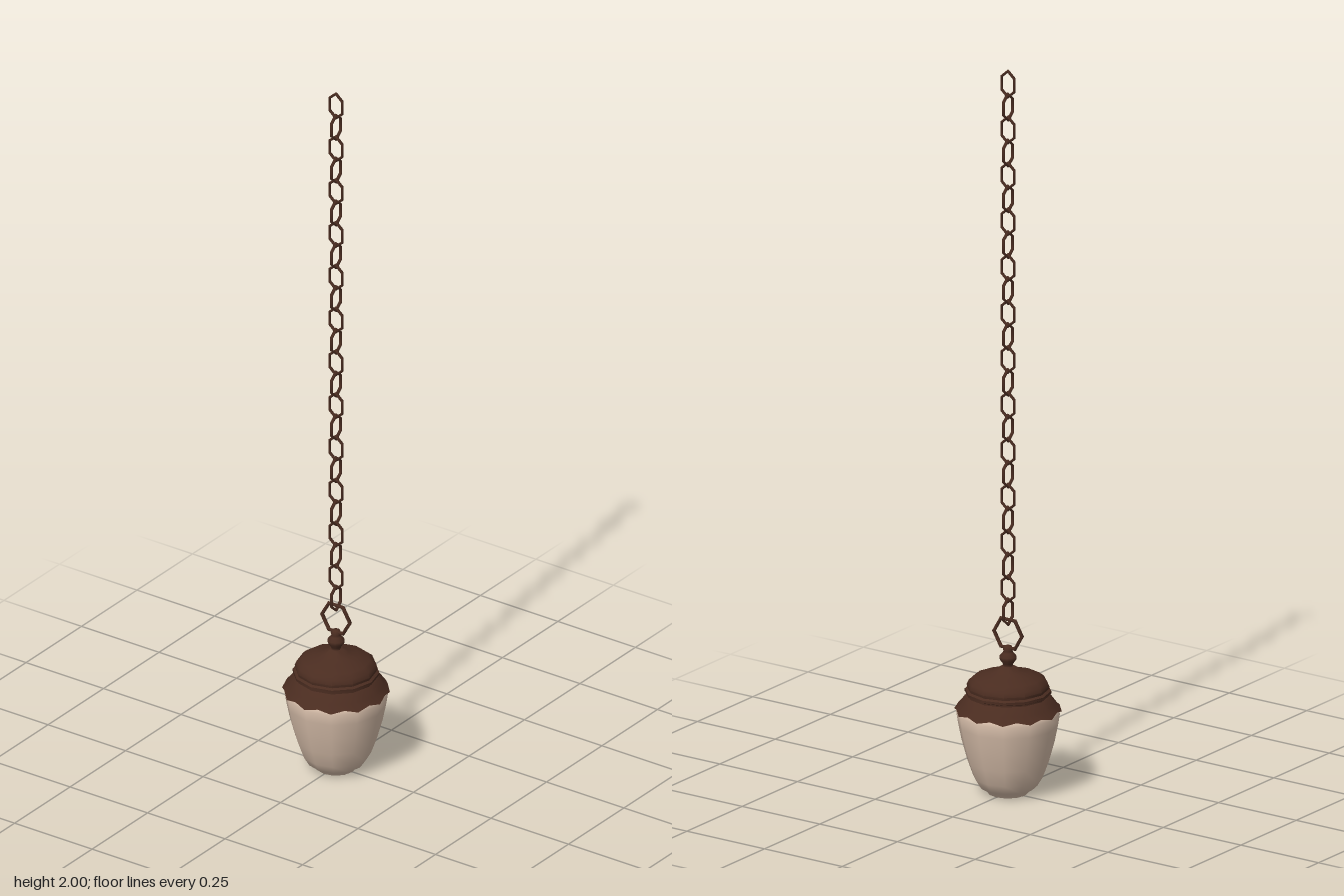
import * as THREE from 'three';
import { toCreasedNormals } from 'three/addons/utils/BufferGeometryUtils.js';

const SIDES = 12;
const bronze = new THREE.MeshStandardMaterial({ color: 0x4a2c20, side: THREE.DoubleSide });
bronze.name = 'bronze';
const glass = new THREE.MeshStandardMaterial({ color: 0xd6bda9, side: THREE.DoubleSide });
glass.name = 'frosted glass';

function lathe(points, sides = SIDES) {
  return new THREE.LatheGeometry(points.map(([r, y]) => new THREE.Vector2(r, y)), sides);
}

function addMesh(parent, name, geometry, material) {
  const mesh = new THREE.Mesh(geometry, material);
  mesh.name = name;
  parent.add(mesh);
  return mesh;
}

// Twelve-sided skirt whose lower edge rises between the corners
function scallopedSkirt() {
  const profile = [[0.132, 0.232], [0.142, 0.228], [0.127, 0.248], [0.114, 0.266], [0.108, 0.27]];
  const geometry = lathe(profile, SIDES * 2);
  const pos = geometry.attributes.position;
  for (let i = 0; i < pos.count; i++) {
    const column = Math.floor(i / profile.length);
    if (column % 2 === 0) continue;
    const k = Math.cos(Math.PI / SIDES);
    const lift = i % profile.length < 2 ? 0.008 : 0;
    pos.setXYZ(i, pos.getX(i) * k, pos.getY(i) + lift, pos.getZ(i) * k);
  }
  return toCreasedNormals(geometry, 0.65);
}

export function createModel() {
  const model = new THREE.Group();
  model.name = 'hangingLantern';

  // Chain of six-sided links, each turned a quarter from the last
  const chain = new THREE.Group();
  chain.name = 'chain';
  model.add(chain);
  const linkGeometry = new THREE.TorusGeometry(0.036, 0.0045, 6, 6);
  linkGeometry.rotateZ(Math.PI / 6).scale(0.66, 1, 1);
  for (let i = 0; i < 24; i++) {
    const link = addMesh(chain, 'chainLink', linkGeometry, bronze);
    link.position.y = 1.96 - i * 0.0635;
    link.rotation.y = (i % 2) * Math.PI / 2;
  }

  // Hanging ring
  const ring = addMesh(model, 'hangingRing', new THREE.TorusGeometry(0.045, 0.0055, 6, 6), bronze);
  ring.position.y = 0.439;

  // Turned finial
  addMesh(model, 'finial', lathe([
    [0.016, 0.335], [0.012, 0.35], [0.014, 0.357], [0.022, 0.368], [0.023, 0.377],
    [0.014, 0.387], [0.012, 0.392], [0.014, 0.397], [0.01, 0.405], [0, 0.407],
  ]), bronze);

  // Domed cap with two stepped bands
  addMesh(model, 'cap', toCreasedNormals(lathe([
    [0.108, 0.266], [0.108, 0.274], [0.114, 0.277], [0.114, 0.284], [0.107, 0.288],
    [0.109, 0.296], [0.104, 0.308], [0.09, 0.319], [0.06, 0.329], [0.033, 0.339],
    [0.018, 0.349], [0, 0.351],
  ]), 0.65), bronze);
  addMesh(model, 'skirt', scallopedSkirt(), bronze);

  // Tapered glass shade with a closed foot
  addMesh(model, 'glassShade', toCreasedNormals(lathe([
    [0, 0], [0.053, 0], [0.06, 0.009], [0.077, 0.02], [0.092, 0.045], [0.108, 0.09],
    [0.123, 0.145], [0.132, 0.19], [0.137, 0.222], [0.134, 0.231], [0.127, 0.242], [0.1, 0.262],
  ]), 0.8), glass);

  return model;
}
